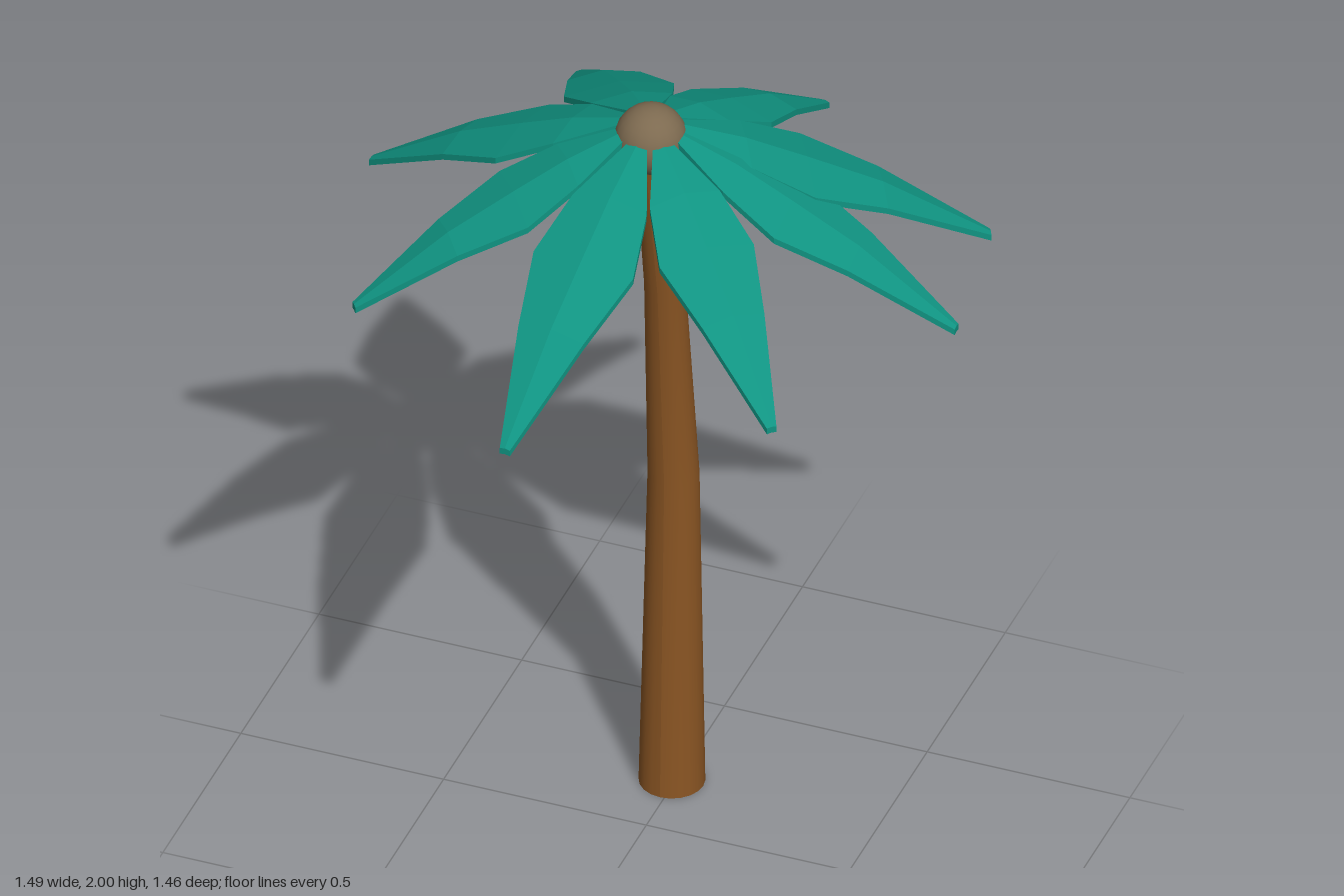
import * as THREE from 'three';

const CROWN = new THREE.Vector3(-0.01, 1.915, -0.055);

// Trunk: tapered cylinder whose rings follow a bent centre line [y, z, radius]
function trunkGeometry() {
  const rings = [[0, -0.19, 0.077], [0.87, -0.2, 0.06], [1.44, -0.145, 0.048], [1.9, -0.055, 0.04]];
  const geo = new THREE.CylinderGeometry(1, 1, rings.length - 1, 20, rings.length - 1);
  const pos = geo.attributes.position;
  for (let i = 0; i < pos.count; i++) {
    const [y, z, r] = rings[Math.round(pos.getY(i) + (rings.length - 1) / 2)];
    pos.setXYZ(i, CROWN.x + pos.getX(i) * r, y, z + pos.getZ(i) * r);
  }
  geo.computeVertexNormals();
  return geo;
}

// Leaf: folded blade lofted outward along +z, drooping to its tip
function leafGeometry(length, tipY) {
  // distance outward, half width, ridge drop
  const sections = [[0.02, 0.012, 0.005], [0.08, 0.028, 0.018], [0.222, 0.095, 0.07],
    [0.365, 0.128, 0.14], [0.54, 0.084, 0.23], [0.79, 0.013, 0.4]];
  const thick = 0.016, fold = 0.2, startY = 1.962;
  const s = length / 0.79, droop = (startY - tipY) / 0.4;
  const verts = [], index = [];
  for (const [d, w, drop] of sections) {
    const y = startY - drop * droop, half = w * s, edgeY = y - half * fold, z = d * s;
    verts.push(-half, edgeY, z, 0, y, z, half, edgeY, z,
      half, edgeY - thick, z, 0, y - thick, z, -half, edgeY - thick, z);
  }
  for (let k = 0; k < sections.length - 1; k++) {
    for (let i = 0; i < 6; i++) {
      const a = k * 6 + i, b = k * 6 + (i + 1) % 6;
      index.push(a, a + 6, b + 6, a, b + 6, b);
    }
  }
  // blunt tip
  const t = (sections.length - 1) * 6;
  for (const i of [0, 5, 4, 0, 4, 1, 1, 4, 3, 1, 3, 2]) index.push(t + i);
  const geo = new THREE.BufferGeometry();
  geo.setAttribute('position', new THREE.Float32BufferAttribute(verts, 3));
  geo.setIndex(index);
  const flat = geo.toNonIndexed();
  flat.computeVertexNormals();
  return flat;
}

export function createModel() {
  const group = new THREE.Group();
  group.name = 'palmTree';
  const bark = new THREE.MeshStandardMaterial({ color: 0x8a5523 });
  const green = new THREE.MeshStandardMaterial({ color: 0x109482 });
  const husk = new THREE.MeshStandardMaterial({ color: 0x7d6a50 });
  bark.name = 'bark brown';
  green.name = 'leaf green';
  husk.name = 'husk grey brown';

  const trunk = new THREE.Mesh(trunkGeometry(), bark);
  trunk.name = 'trunk';
  group.add(trunk);

  // Round heart of the crown
  const heart = new THREE.Mesh(new THREE.SphereGeometry(0.085, 20, 14), husk);
  heart.name = 'crownHeart';
  heart.position.copy(CROWN);
  group.add(heart);

  // Leaves, each given by its tip [x, y, z]
  const tips = [[-0.44, 1.54, -0.73], [0.16, 1.61, -0.73], [0.68, 1.57, -0.44], [0.74, 1.57, -0.065],
    [0.49, 1.58, 0.47], [-0.07, 1.545, 0.725], [-0.575, 1.59, 0.38], [-0.745, 1.59, -0.175]];
  const leaves = new THREE.Group();
  leaves.name = 'leaves';
  tips.forEach(([x, y, z], i) => {
    const dx = x - CROWN.x, dz = z - CROWN.z;
    const leaf = new THREE.Mesh(leafGeometry(Math.hypot(dx, dz), y), green);
    leaf.name = `leaf${i + 1}`;
    leaf.position.set(CROWN.x, 0, CROWN.z);
    leaf.rotation.y = Math.atan2(dx, dz);
    leaves.add(leaf);
  });
  group.add(leaves);
  return group;
}
